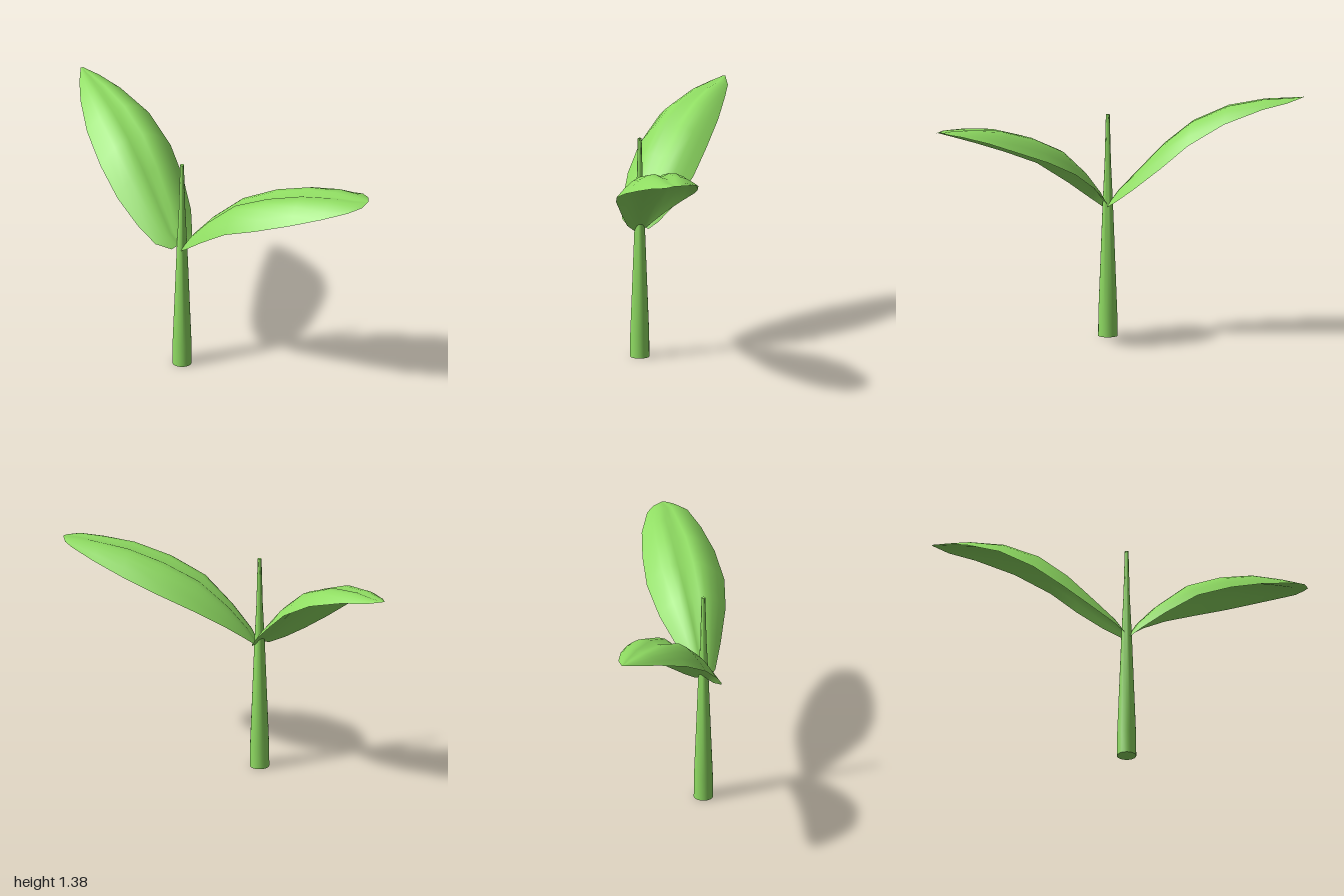
import * as THREE from 'three';
import { toCreasedNormals } from 'three/addons/utils/BufferGeometryUtils.js';

const green = new THREE.MeshStandardMaterial({ color: 0x8fdc62, side: THREE.DoubleSide });

// Height across a leaf, from edge to edge: two humps with a midrib groove
const ARCH = [0, 0.42, 0.75, 0.95, 1, 0.82, 1, 0.95, 0.75, 0.42, 0];

// Each rib is [left edge xyz, right edge xyz, arch height], from base to tip
function leaf(name, ribs) {
  const n = ARCH.length;
  const positions = [];
  const index = [];
  ribs.forEach(([left, right, height], r) => {
    const a = new THREE.Vector3(...left);
    const b = new THREE.Vector3(...right);
    for (let i = 0; i < n; i++) {
      const p = a.clone().lerp(b, i / (n - 1));
      positions.push(p.x, p.y + height * ARCH[i], p.z);
      if (r > 0 && i > 0) {
        const d = r * n + i, c = d - 1, f = d - n, e = f - 1;
        index.push(e, f, d, e, d, c);
      }
    }
  });
  const geometry = new THREE.BufferGeometry();
  geometry.setAttribute('position', new THREE.Float32BufferAttribute(positions, 3));
  geometry.setIndex(index);
  geometry.computeVertexNormals();
  const mesh = new THREE.Mesh(geometry, green);
  mesh.name = name;
  return mesh;
}

export function createModel() {
  const group = new THREE.Group();
  group.name = 'seedling';

  // Tapered stem with closed ends
  const profile = [[0, 0], [0.055, 0], [0.054, 0.13], [0.03, 0.75], [0.018, 1.0], [0.011, 1.275], [0, 1.275]]
    .map(([r, y]) => new THREE.Vector2(r, y));
  const stem = new THREE.Mesh(toCreasedNormals(new THREE.LatheGeometry(profile, 20), 0.7), green);
  stem.name = 'stem';
  stem.position.set(-0.255, 0, 0.105);
  group.add(stem);

  // Leaf arching backwards
  group.add(leaf('backLeaf', [
    [[-0.32, 0.745, 0.105], [-0.2, 0.75, 0.1], 0.01],
    [[-0.4, 0.775, 0.06], [-0.165, 0.785, 0.05], 0.045],
    [[-0.46, 0.855, -0.05], [-0.12, 0.87, -0.06], 0.08],
    [[-0.515, 0.97, -0.2], [-0.095, 1.0, -0.22], 0.12],
    [[-0.54, 1.1, -0.37], [-0.1, 1.13, -0.37], 0.12],
    [[-0.53, 1.22, -0.57], [-0.14, 1.25, -0.57], 0.09],
    [[-0.475, 1.305, -0.77], [-0.22, 1.325, -0.78], 0.05],
    [[-0.42, 1.35, -0.9], [-0.285, 1.355, -0.92], 0.02],
    [[-0.365, 1.38, -1], [-0.35, 1.38, -1], 0],
  ]));

  // Leaf arching forwards and to the left
  group.add(leaf('frontLeaf', [
    [[-0.22, 0.755, 0.1], [-0.275, 0.735, 0.13], 0.01],
    [[-0.15, 0.81, 0.12], [-0.28, 0.78, 0.2], 0.045],
    [[-0.05, 0.885, 0.16], [-0.24, 0.88, 0.33], 0.08],
    [[0.11, 0.99, 0.245], [-0.175, 1.0, 0.5], 0.115],
    [[0.27, 1.085, 0.38], [-0.07, 1.08, 0.67], 0.12],
    [[0.39, 1.16, 0.54], [0.08, 1.155, 0.82], 0.105],
    [[0.48, 1.225, 0.69], [0.23, 1.215, 0.93], 0.065],
    [[0.53, 1.27, 0.84], [0.36, 1.26, 1.0], 0.025],
    [[0.53, 1.28, 0.91], [0.45, 1.275, 1.0], 0.01],
    [[0.505, 1.288, 0.965], [0.495, 1.288, 0.975], 0],
  ]));

  return group;
}
